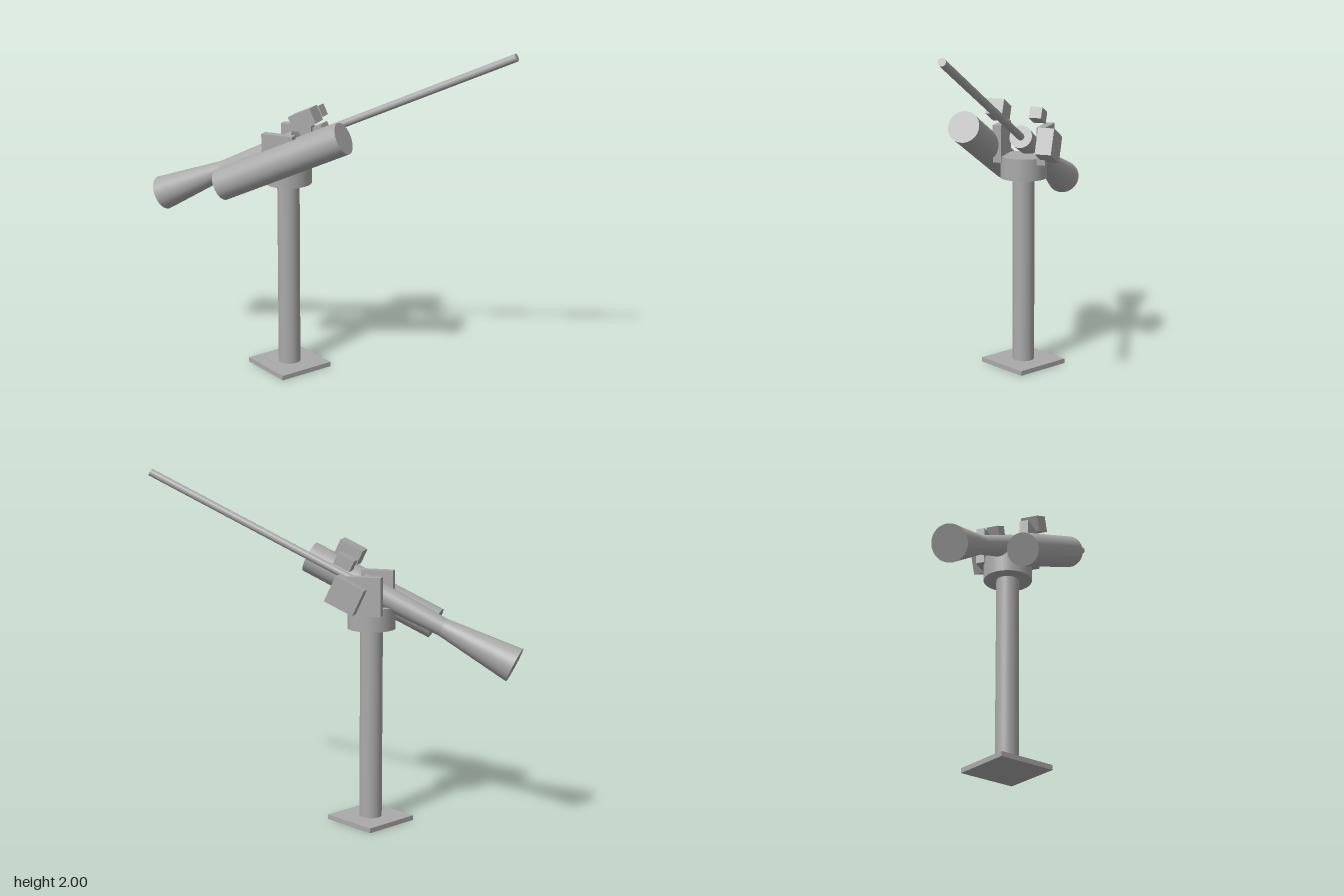
import * as THREE from 'three';

const grey = new THREE.MeshStandardMaterial({ color: 0xaaaaaa });
grey.name = 'grey metal';

function add(parent, name, geometry, x = 0, y = 0, z = 0) {
  const mesh = new THREE.Mesh(geometry, grey);
  mesh.name = name;
  mesh.position.set(x, y, z);
  parent.add(mesh);
  return mesh;
}

// Tube lying along local x, from x0 (radius r0) to x1 (radius r1)
function tube(parent, name, x0, x1, r0, r1, y = 0, z = 0) {
  const geometry = new THREE.CylinderGeometry(r1, r0, x1 - x0, 40);
  geometry.rotateZ(-Math.PI / 2);
  return add(parent, name, geometry, (x0 + x1) / 2, y, z);
}

const box = (l, h, w) => new THREE.BoxGeometry(l, h, w);

export function createModel() {
  const model = new THREE.Group();
  model.name = 'mountedLauncher';

  // Fixed stand
  const stand = new THREE.Group();
  stand.name = 'stand';
  stand.position.set(-0.197, 0, 0.093);
  model.add(stand);
  add(stand, 'basePlate', box(0.35, 0.028, 0.35), 0, 0.014, 0);
  add(stand, 'post', new THREE.CylinderGeometry(0.065, 0.065, 1.13, 40), 0, 0.59, 0);
  add(stand, 'collar', new THREE.CylinderGeometry(0.137, 0.137, 0.13, 48), 0, 1.205, 0);

  // Turning head with two yoke cheeks
  const head = new THREE.Group();
  head.name = 'head';
  head.rotation.y = Math.PI / 6;
  stand.add(head);
  for (const side of [-1, 1]) {
    add(head, side > 0 ? 'leftCheek' : 'rightCheek', box(0.19, 0.22, 0.05), 0, 1.345, side * 0.133);
  }

  // Elevating assembly
  const gun = new THREE.Group();
  gun.name = 'gun';
  gun.position.y = 1.362;
  gun.rotation.z = THREE.MathUtils.degToRad(25);
  head.add(gun);
  tube(gun, 'rearFlare', -0.911, -0.46, 0.102, 0.053);
  tube(gun, 'breech', -0.46, 0.065, 0.053, 0.068);
  tube(gun, 'barrel', 0.05, 1.474, 0.022, 0.022);
  tube(gun, 'sideCanister', -0.385, 0.45, 0.092, 0.092, -0.06, 0.215);

  // Sights and equipment box
  add(gun, 'largeSight', box(0.147, 0.091, 0.1), 0.222, 0.112, 0.103);
  add(gun, 'smallSight', box(0.104, 0.067, 0.073), 0.18, 0.105, -0.123);
  add(gun, 'equipmentBox', box(0.181, 0.158, 0.096), 0.085, -0.047, -0.18);

  return model;
}
